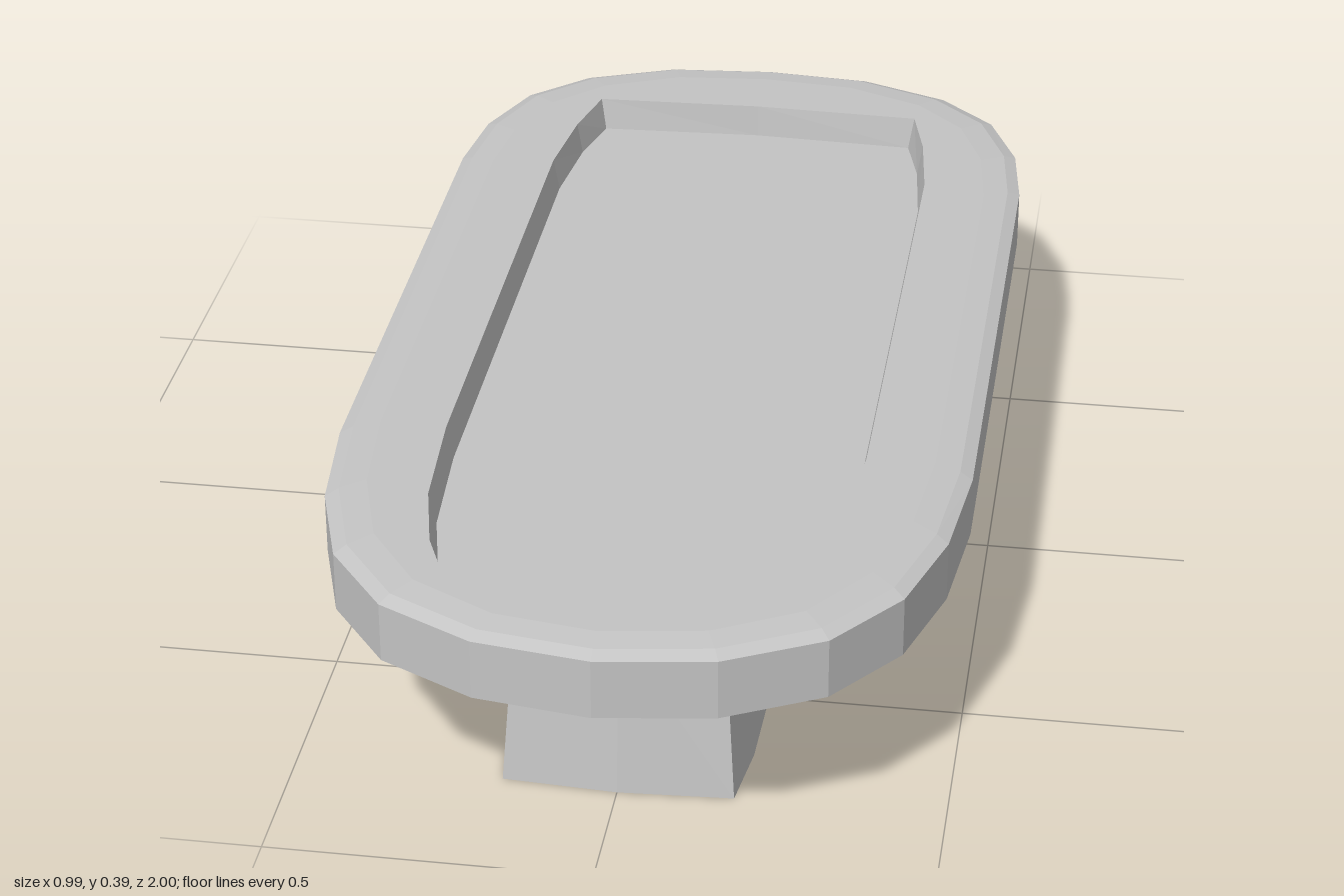
import * as THREE from 'three';

// Half outlines [x, z], from the back centre round the left side to the front centre
const SLAB = [[0, -1], [0.18, -0.985], [0.33, -0.925], [0.425, -0.835], [0.478, -0.705], [0.496, -0.56],
  [0.496, 0.42], [0.476, 0.61], [0.426, 0.77], [0.33, 0.895], [0.18, 0.972], [0, 0.998]];
const RIM = [[0, -0.822], [0.287, -0.812], [0.313, -0.7], [0.33, -0.55],
  [0.33, 0.4], [0.317, 0.6], [0.288, 0.73], [0.248, 0.825], [0.15, 0.857], [0, 0.872]];
const FLOOR = [[0, -0.815], [0.278, -0.803], [0.304, -0.7], [0.32, -0.55],
  [0.32, 0.4], [0.307, 0.595], [0.279, 0.72], [0.24, 0.812], [0.145, 0.843], [0, 0.857]];
const FOOT = [[0, -0.712], [0.193, -0.71], [0.197, -0.55], [0.197, 0.45], [0.193, 0.66], [0.178, 0.777], [0, 0.787]];
const FOOT_TOP = [[0, -0.697], [0.174, -0.695], [0.177, -0.54], [0.177, 0.44], [0.174, 0.64], [0.16, 0.747], [0, 0.757]];

// Full closed outline from a half outline
const mirror = half => [...half, ...half.slice(1, -1).reverse().map(([x, z]) => [-x, z])];

// Outline pulled inward by d on every side
const inset = (half, d) => half.map(([x, z]) => [x * (1 - d / 0.496), z * (1 - d)]);

// Walls joining a stack of [half outline, y] rings; rising rings face out, falling rings face in
function loft(rings) {
  const pos = [];
  const loops = rings.map(([half, y]) => mirror(half).map(([x, z]) => [x, y, z]));
  for (let k = 0; k < loops.length - 1; k++) {
    const a = loops[k], b = loops[k + 1];
    for (let i = 0; i < a.length; i++) {
      const j = (i + 1) % a.length;
      pos.push(...a[i], ...b[i], ...b[j], ...a[i], ...b[j], ...a[j]);
    }
  }
  const geo = new THREE.BufferGeometry();
  geo.setAttribute('position', new THREE.Float32BufferAttribute(pos, 3));
  geo.computeVertexNormals();
  return geo;
}

// Flat face at height y, facing up (1) or down (-1), with an optional hole
function cap(half, y, facing, hole) {
  const points = h => mirror(h).map(([x, z]) => new THREE.Vector2(x, -z * facing));
  const shape = new THREE.Shape(points(half));
  if (hole) shape.holes.push(new THREE.Path(points(hole)));
  return new THREE.ShapeGeometry(shape).rotateX(-facing * Math.PI / 2).translate(0, y, 0);
}

export function createModel() {
  const model = new THREE.Group();
  const grey = new THREE.MeshStandardMaterial({ color: 0xc4c4c4, flatShading: true });
  grey.name = 'plain grey';

  const part = (name, pieces) => {
    const group = new THREE.Group();
    group.name = name;
    for (const [label, geo] of Object.entries(pieces)) {
      const mesh = new THREE.Mesh(geo, grey);
      mesh.name = label;
      group.add(mesh);
    }
    model.add(group);
  };

  // Rounded slab with softened edges
  part('slab', {
    slabSide: loft([[inset(SLAB, 0.06), 0.267], [inset(SLAB, 0.02), 0.271], [SLAB, 0.28],
      [SLAB, 0.377], [inset(SLAB, 0.02), 0.386], [inset(SLAB, 0.06), 0.39]]),
    slabTop: cap(inset(SLAB, 0.06), 0.39, 1, RIM),
    slabUnderside: cap(inset(SLAB, 0.06), 0.267, -1),
  });

  // Shallow tray sunk into the slab
  part('recess', {
    recessWall: loft([[RIM, 0.39], [FLOOR, 0.335]]),
    recessFloor: cap(FLOOR, 0.335, 1),
  });

  // Tapered foot under the slab
  part('foot', {
    footSide: loft([[FOOT, 0], [FOOT_TOP, 0.27]]),
    footBase: cap(FOOT, 0, -1),
  });

  return model;
}
